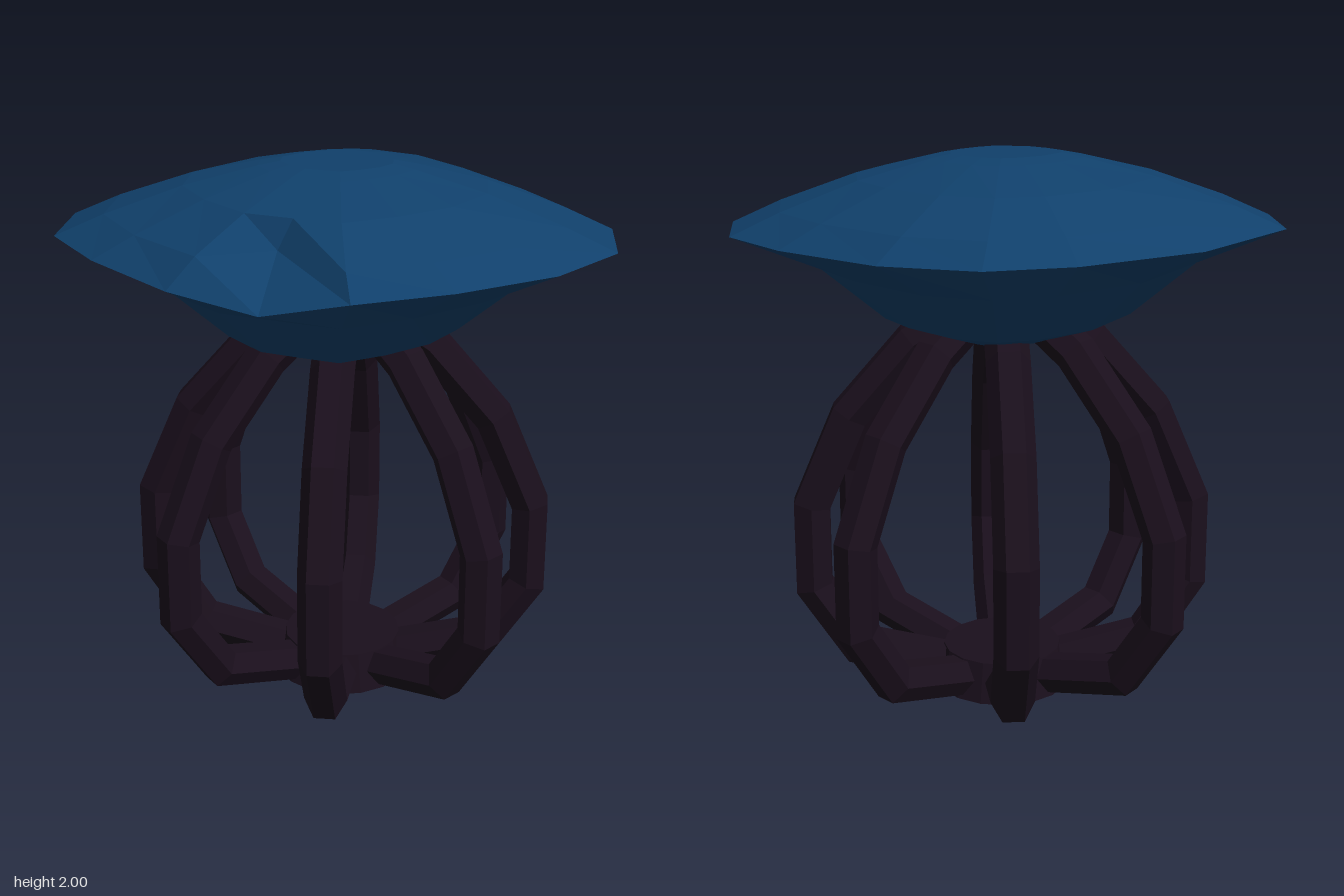
import * as THREE from 'three';

const seatMaterial = new THREE.MeshStandardMaterial({ color: 0x10406b, flatShading: true });
const frameMaterial = new THREE.MeshStandardMaterial({ color: 0x1a0f1c, flatShading: true });

// Skins closed rings of points (clockwise seen along the ring axis) and caps both ends
function loft(rings) {
  const n = rings[0].length;
  const centre = (ring) => ring.reduce((s, p) => s.add(p), new THREE.Vector3()).divideScalar(n);
  const points = [...rings.flat(), centre(rings[0]), centre(rings[rings.length - 1])];
  const start = points.length - 2, end = points.length - 1, last = (rings.length - 1) * n;
  const index = [];
  for (let j = 0; j < n; j++) {
    const k = (j + 1) % n;
    for (let r = 0; r < rings.length - 1; r++) {
      const a = r * n + j, b = r * n + k;
      index.push(a, a + n, b + n, a, b + n, b);
    }
    index.push(start, j, k, end, last + k, last + j);
  }
  const geometry = new THREE.BufferGeometry().setFromPoints(points);
  geometry.setIndex(index);
  geometry.computeVertexNormals();
  return geometry;
}

// Cushion: an irregular plan outline scaled to each level
function cushionGeometry() {
  const outline = [
    [-0.98, -0.15], [-0.62, -0.53], [-0.18, -0.74], [0.13, -0.79], [0.46, -0.68],
    [0.78, -0.41], [0.96, -0.16], [0.97, 0.14], [0.77, 0.42], [0.45, 0.64],
    [0.13, 0.79], [-0.17, 0.73], [-0.48, 0.66], [-0.78, 0.42], [-0.98, 0.15],
  ];
  const levels = [ // y, x scale, z scale
    [1.33, 0.16, 0.18], [1.36, 0.24, 0.32], [1.43, 0.45, 0.6], [1.62, 0.68, 0.85],
    [1.74, 1, 1], [1.82, 0.82, 0.9], [1.92, 0.54, 0.64], [1.985, 0.28, 0.3], [2, 0.2, 0.2],
  ];
  const rings = levels.map(([y, sx, sz]) =>
    outline.map(([x, z]) => new THREE.Vector3(x * sx, y, z * sz)));
  // Dent in the front edge
  rings[4][11].y = 1.67;
  rings[4][12].y = 1.72;
  rings[5][11].z = 0.5;
  return loft(rings);
}

// Rib: a six-sided bar swept along a bent path in the x-y plane
function ribGeometry() {
  const path = [
    [0.08, 0.075], [0.22, 0.078], [0.54, 0.155], [0.7, 0.4],
    [0.7, 0.72], [0.555, 1.06], [0.32, 1.33], [0.2, 1.41],
  ].map(([x, y]) => new THREE.Vector2(x, y));
  const halfThickness = 0.065, halfWidth = 0.078;
  const rings = path.map((p, i) => {
    const before = p.clone().sub(path[Math.max(i - 1, 0)]).normalize();
    const after = path[Math.min(i + 1, path.length - 1)].clone().sub(p).normalize();
    const tangent = before.clone().add(after).normalize();
    const reference = i === 0 ? after : before;
    const miter = halfThickness / tangent.dot(reference);
    const ring = [];
    for (let j = 0; j < 6; j++) {
      const a = j * Math.PI / 3;
      const across = Math.sin(a) / Math.sin(Math.PI / 3) * miter;
      ring.push(new THREE.Vector3(
        p.x + tangent.y * across, p.y - tangent.x * across, -Math.cos(a) * halfWidth));
    }
    return ring;
  });
  return loft(rings);
}

export function createModel() {
  const model = new THREE.Group();
  model.name = 'stool';

  const cushion = new THREE.Mesh(cushionGeometry(), seatMaterial);
  cushion.name = 'cushion';
  model.add(cushion);

  // Cage of eight ribs around a hub
  const frame = new THREE.Group();
  frame.name = 'frame';
  frame.position.set(0.015, 0, -0.03);
  const rib = ribGeometry();
  [0, 40, 90, 140, 180, 220, 270, 320].forEach((degrees, i) => {
    const mesh = new THREE.Mesh(rib, frameMaterial);
    mesh.name = `rib${i + 1}`;
    mesh.rotation.y = THREE.MathUtils.degToRad(degrees);
    frame.add(mesh);
  });

  const hub = new THREE.Mesh(new THREE.CylinderGeometry(0.22, 0.25, 0.15, 16), frameMaterial);
  hub.name = 'hub';
  hub.position.y = 0.075;
  frame.add(hub);

  model.add(frame);
  return model;
}
